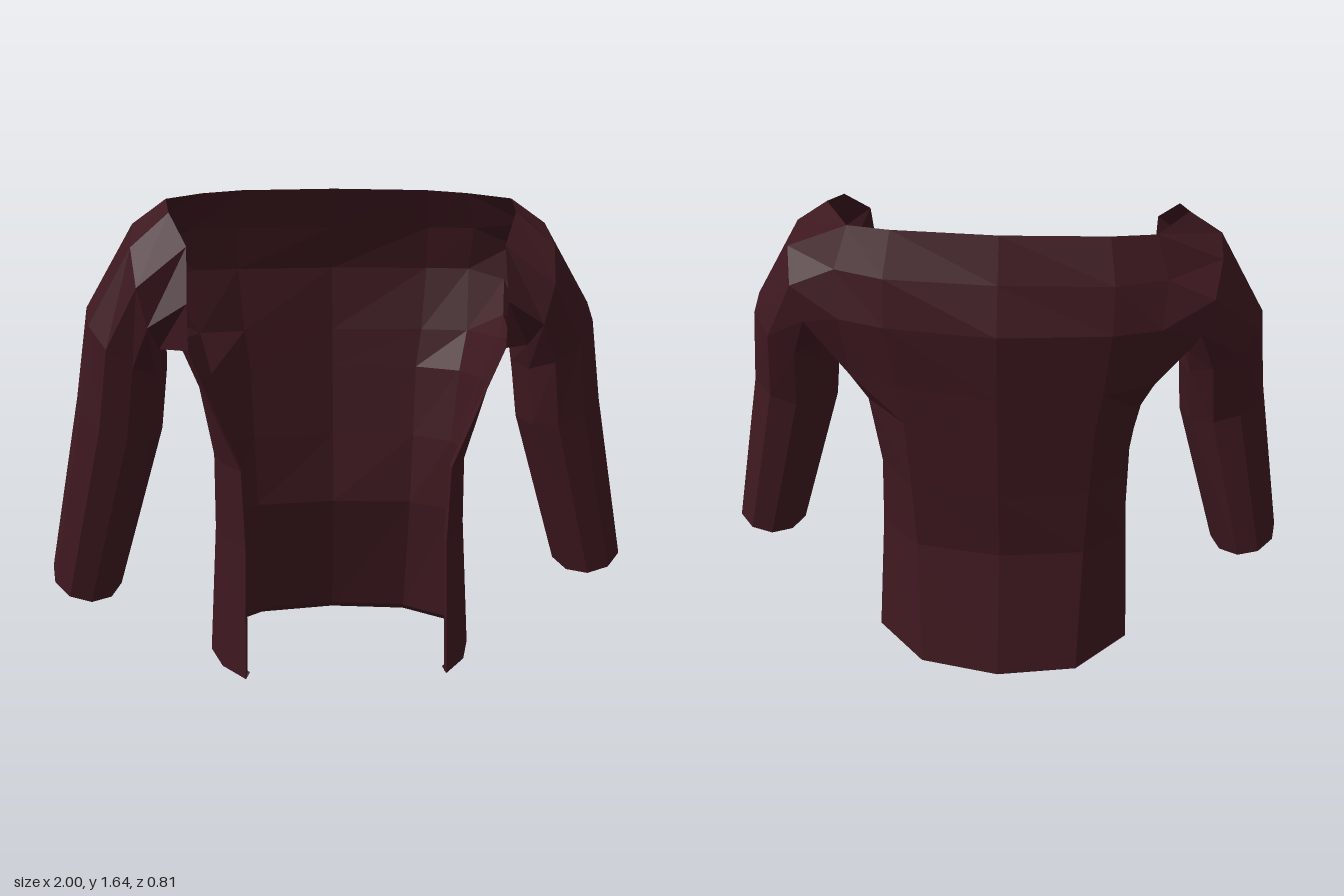
import * as THREE from 'three';

const material = new THREE.MeshStandardMaterial({
  color: 0x3d181f, flatShading: true, side: THREE.DoubleSide,
});
const { lerp } = THREE.MathUtils;

// Skin a list of cross-sections (each a list of [x, y, z]) with quads
function skin(name, rows, { closed = false, flip = false } = {}) {
  const n = rows[0].length;
  const index = [];
  for (let i = 0; i < rows.length - 1; i++) {
    for (let j = 0; j < (closed ? n : n - 1); j++) {
      const k = (j + 1) % n;
      const a = i * n + j, b = i * n + k, ua = a + n, ub = b + n;
      if (flip) index.push(a, ub, ua, a, b, ub);
      else index.push(a, ua, ub, a, ub, b);
    }
  }
  const geometry = new THREE.BufferGeometry();
  geometry.setAttribute('position', new THREE.Float32BufferAttribute(rows.flat(2), 3));
  geometry.setIndex(index);
  geometry.computeVertexNormals();
  const mesh = new THREE.Mesh(geometry, material);
  mesh.name = name;
  return mesh;
}

// Complete a half row (centre back to front edge) across x = 0
const mirrorRow = (half) => [
  ...half.slice(1).reverse().map(([x, y, z]) => [-x, y, z]),
  ...half,
];

// Shrink a ring towards its middle and lift it, for a turned-in hem
function turnIn(ring, scale, lift) {
  const mid = [0, 1, 2].map((k) => ring.reduce((s, p) => s + p[k], 0) / ring.length);
  return ring.map((p) => p.map((v, k) => mid[k] + (v - mid[k]) * scale + (k === 1 ? lift : 0)));
}

// Half row of the torso: centre back, back, back corner, side, front, front edge.
// Rows rise slightly towards the front.
function torsoRow(y, centreZ, [backX, backZ], [cornerX, cornerZ], sideX, [edgeX, edgeZ]) {
  const sideZ = 0.03;
  return [
    [0, centreZ], [backX, backZ], [cornerX, cornerZ], [sideX, sideZ],
    [lerp(sideX, edgeX, 0.35), lerp(sideZ, edgeZ, 0.57)], [edgeX, edgeZ],
  ].map(([x, z]) => [x, y + 0.04 * (z + 0.41), z]);
}

// Torso from the hem to the armpit
const torsoRows = [
  torsoRow(0, -0.41, [0.28, -0.36], [0.46, -0.18], 0.465, [0.34, 0.33]),
  torsoRow(0.46, -0.31, [0.29, -0.27], [0.43, -0.14], 0.44, [0.335, 0.31]),
  torsoRow(0.72, -0.335, [0.3, -0.28], [0.42, -0.14], 0.44, [0.345, 0.325]),
  torsoRow(0.98, -0.355, [0.31, -0.3], [0.45, -0.16], 0.49, [0.45, 0.345]),
  torsoRow(1.12, -0.365, [0.33, -0.31], [0.49, -0.24], 0.55, [0.5, 0.385]),
];
const armpitRow = torsoRows[4];

// Upper back half rows, from the armpit to the neckline
const upperBackRows = [
  armpitRow.slice(0, 3),
  [[0, 1.35, -0.38], [0.35, 1.35, -0.34], [0.5, 1.35, -0.29]],
  [[0, 1.5, -0.33], [0.35, 1.5, -0.31], [0.51, 1.5, -0.25]],
  [[0, 1.64, -0.28], [0.33, 1.635, -0.25], [0.47, 1.625, -0.2]],
];

// Armhole: underarm, up the back, then down along the neckline to the front edge
const armhole = [
  armpitRow[3],
  ...upperBackRows.map((row) => row[2]),
  [0.58, 1.61, 0.03], [0.56, 1.57, 0.2], [0.5, 1.47, 0.33], [0.5, 1.3, 0.4],
  armpitRow[5],
];

// Sleeve ring: an oval from the underarm round the back, lower at the front
function sleeveRing(cx, cy, cz, outX, outY, depth) {
  return armhole.map((_, j) => {
    const t = (j / armhole.length) * Math.PI * 2;
    const z = -depth * Math.sin(t);
    return [cx - outX * Math.cos(t), cy - outY * Math.cos(t) - 0.15 * z, cz + z];
  });
}

const sleeveRings = [
  armhole,
  sleeveRing(0.64, 1.33, 0.06, 0.05, 0.2, 0.32), // shoulder
  sleeveRing(0.72, 1.16, 0.06, 0.13, 0.1, 0.265), // upper arm
  sleeveRing(0.75, 0.925, 0.07, 0.14, 0.055, 0.22), // elbow
  sleeveRing(0.885, 0.37, 0.035, 0.115, 0.035, 0.185), // cuff
];

export function createModel() {
  const group = new THREE.Group();
  group.name = 'openJacket';

  // Torso wraps round the back and sides and is open at the front
  const torso = torsoRows.map(mirrorRow);
  group.add(skin('torso', torso));
  group.add(skin('upperBack', upperBackRows.map(mirrorRow)));

  // Thin turned-in hem
  group.add(skin('hem', [turnIn(torso[0], 0.96, 0.02), torso[0]]));

  // How far the right sleeve swings lower and forward, ring by ring
  const swing = [0, 0, 0.1, 0.5, 1];
  for (const side of [1, -1]) {
    const prefix = side > 0 ? 'left' : 'right';

    // Folded front edge
    const edge = torsoRows.map((row) => [side * row[5][0], row[5][1], row[5][2]]);
    const fold = edge.map(([x, y, z]) => [x - side * 0.005, y, z - 0.025]);
    group.add(skin(`${prefix}FrontEdge`, [edge, fold], { flip: side < 0 }));

    // Sleeve with a turned-in cuff
    const rings = sleeveRings.map((ring, i) => ring.map(([x, y, z]) => {
      const w = side < 0 ? swing[i] : 0;
      return [side * x, y - 0.04 * w, z + 0.05 * w];
    }));
    rings.push(turnIn(rings[4], 0.88, 0.03));
    group.add(skin(`${prefix}Sleeve`, rings, { closed: true, flip: side > 0 }));
  }
  return group;
}
